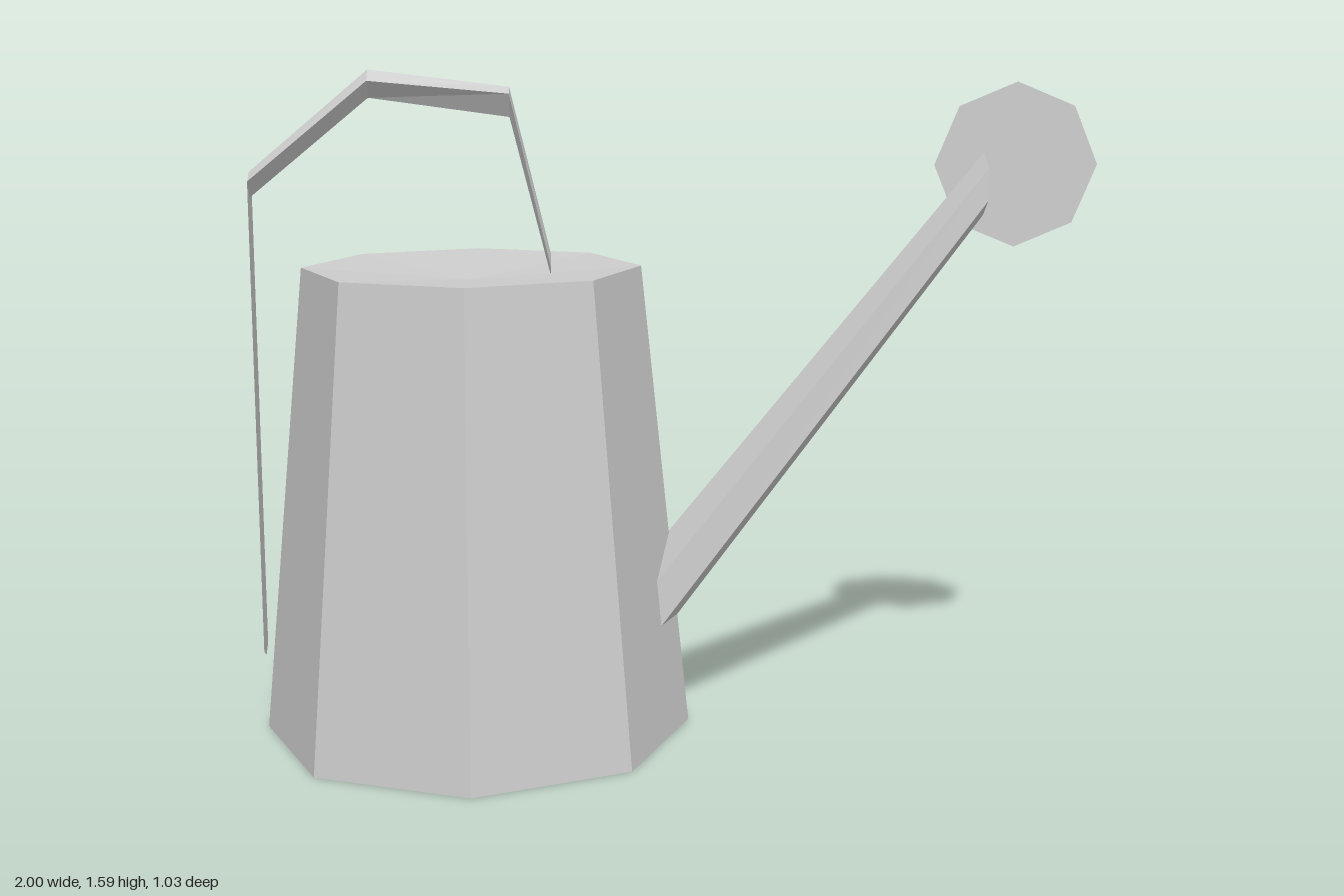
import * as THREE from 'three';

// Open tube through rings of [x, y, z] points, all rings having the same count
function loft(rings) {
  const n = rings[0].length, index = [];
  for (let r = 0; r < rings.length - 1; r++) {
    for (let i = 0; i < n; i++) {
      const a = r * n + i, b = r * n + (i + 1) % n;
      index.push(a, b, a + n, b, b + n, a + n);
    }
  }
  const geometry = new THREE.BufferGeometry();
  geometry.setAttribute('position', new THREE.Float32BufferAttribute(rings.flat(2), 3));
  geometry.setIndex(index);
  const flat = geometry.toNonIndexed();
  flat.computeVertexNormals();
  return flat;
}

// Diamond section standing upright at x
const diamond = ([x, top, middle, bottom], w = 0.034) =>
  [[x, top, 0], [x, middle, w], [x, bottom, 0], [x, middle, -w]];

// Hexagonal section, symmetric about z = 0; each entry is [x, y, half width]
const hexagon = ([top, upper, lower, bottom]) => [
  [top[0], top[1], 0],
  upper, lower,
  [bottom[0], bottom[1], 0],
  [lower[0], lower[1], -lower[2]],
  [upper[0], upper[1], -upper[2]],
];

export function createModel() {
  const group = new THREE.Group();
  const metal = new THREE.MeshStandardMaterial({ color: 0xcccccc, flatShading: true, side: THREE.DoubleSide });
  metal.name = 'grey metal';

  const add = (name, geometry, x = 0, y = 0) => {
    const mesh = new THREE.Mesh(geometry, metal);
    mesh.name = name;
    mesh.position.set(x, y, 0);
    group.add(mesh);
    return mesh;
  };

  // Tapered eight-sided can, open underneath
  const canX = -0.487, height = 1.125;
  add('body', new THREE.CylinderGeometry(0.4, 0.513, height, 8, 1, true), canX, height / 2);

  // Top closed by a very shallow dip
  const dip = 0.03;
  const lid = new THREE.ConeGeometry(0.4, dip, 8, 1, true);
  lid.rotateX(Math.PI);
  add('top', lid, canX, height - dip / 2);

  // Tapering spout, open at both ends
  add('spout', loft([
    hexagon([[-0.02, 0.48], [-0.055, 0.38, 0.105], [-0.045, 0.27, 0.108], [0, 0.27]]),
    hexagon([[0.727, 1.39], [0.727, 1.355, 0.063], [0.727, 1.28, 0.065], [0.727, 1.24]]),
  ]));

  // Flat sprinkler disc at the spout tip
  add('sprinklerDisc', new THREE.CircleGeometry(0.195, 8), 0.803, 1.36);

  // Handle: up the back, over the top and down to the lid
  add('handle', loft([
    [-1, 0.22, 0.2, 0.18],
    [-1, 1.35, 1.33, 1.29],
    [-0.72, 1.585, 1.56, 1.52],
    [-0.393, 1.545, 1.53, 1.475],
    [-0.3, 1.155, 1.125, 1.1],
  ].map((s) => diamond(s))));

  return group;
}
